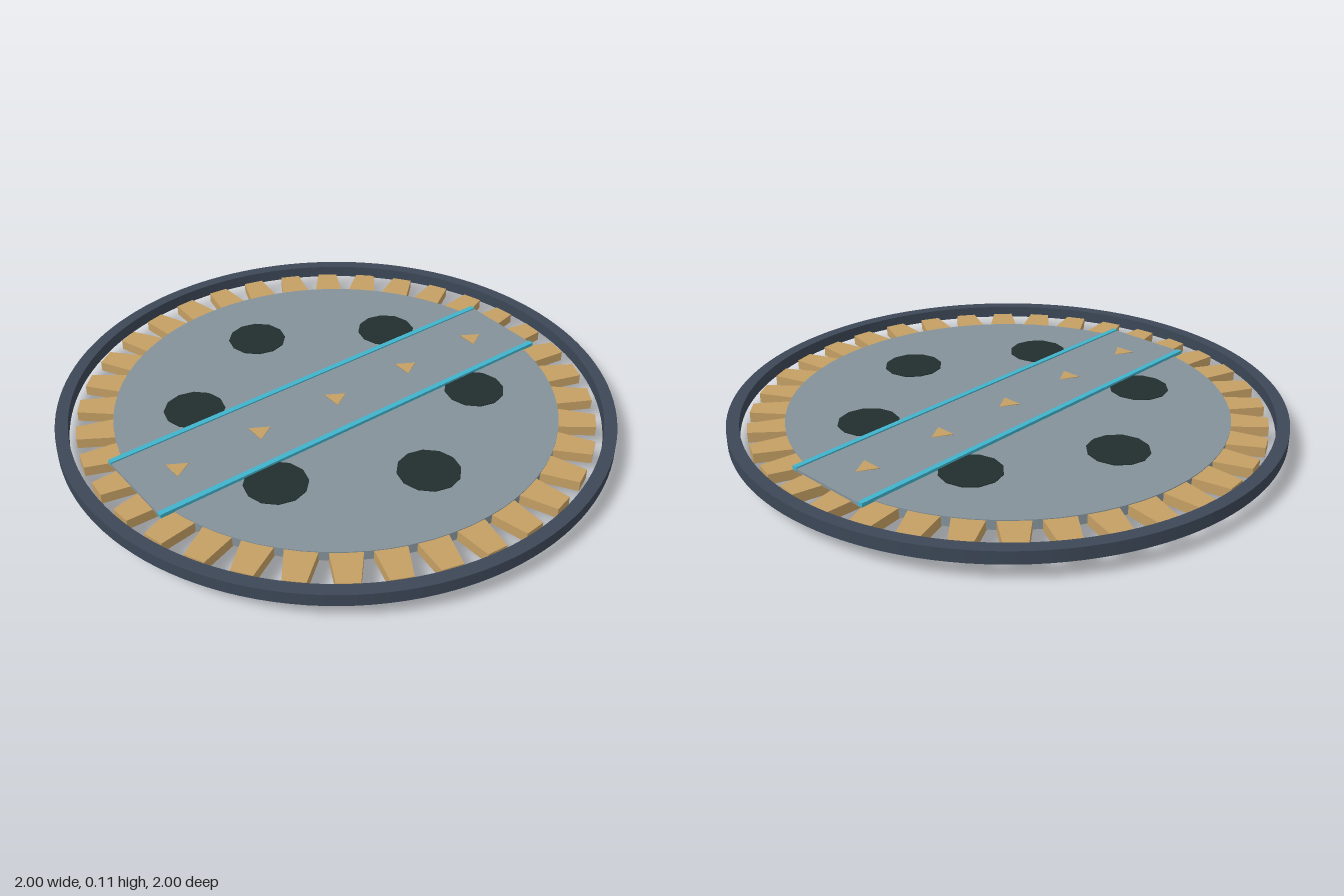
import * as THREE from 'three';

const mat = (name, color) => {
  const m = new THREE.MeshStandardMaterial({ color });
  m.name = name;
  return m;
};

export function createModel() {
  const grey = mat('deck grey', 0x84929a);
  const tan = mat('brass tan', 0xc49f64);
  const slate = mat('rim slate', 0x3c4757);
  const dark = mat('port dark', 0x222d2d);
  const teal = mat('rail teal', 0x40b4cc);

  const model = new THREE.Group();
  model.name = 'turntable';
  const add = (name, geometry, material, x = 0, y = 0, z = 0) => {
    const mesh = new THREE.Mesh(geometry, material);
    mesh.name = name;
    mesh.position.set(x, y, z);
    model.add(mesh);
    return mesh;
  };
  // Flat plate lying in the ground plane, rising from y = 0
  const plate = (shape, depth) => new THREE.ExtrudeGeometry(shape,
    { depth, bevelEnabled: false, curveSegments: 64 }).rotateX(-Math.PI / 2);
  const disc = (r, bottom, top, sides) =>
    new THREE.CylinderGeometry(r, r, top - bottom, sides).translate(0, (top + bottom) / 2, 0);

  // Outer guard ring
  const ring = new THREE.Shape().absarc(0, 0, 1, 0, Math.PI * 2);
  ring.holes.push(new THREE.Path().absarc(0, 0, 0.955, 0, Math.PI * 2, true));
  add('outerRing', plate(ring, 0.045), slate, 0, 0.065);

  // Gear with 36 tapered teeth
  const points = [];
  for (let i = 0; i < 36; i++) {
    const a = THREE.MathUtils.degToRad(5 + i * 10);
    for (const [r, w] of [[0.79, -0.055], [0.93, -0.038], [0.93, 0.038], [0.79, 0.055]]) {
      points.push(new THREE.Vector2(r, w).rotateAround(new THREE.Vector2(), a));
    }
  }
  add('gear', plate(new THREE.Shape(points), 0.037), tan, 0, 0.05);

  // Hub below and deck above
  add('hub', disc(0.222, 0, 0.055, 48), grey);
  add('deck', disc(0.8, 0.055, 0.09, 72), grey);

  // Six dark ports around the deck
  for (let i = 0; i < 6; i++) {
    const a = i * Math.PI / 3;
    add('port', disc(0.11, 0.087, 0.093, 12), dark, 0.512 * Math.cos(a), 0, 0.512 * Math.sin(a));
  }

  // Central track with an edge rail on each side
  add('track', new THREE.BoxGeometry(0.34, 0.012, 1.66), grey, 0, 0.09);
  for (const s of [-1, 1]) {
    add('rail', new THREE.BoxGeometry(0.02, 0.014, 1.662), teal, s * 0.165, 0.094);
  }

  // Direction arrows along the track
  const arrow = new THREE.CylinderGeometry(0.045, 0.045, 0.003, 3).rotateY(Math.PI);
  for (let i = -2; i <= 2; i++) add('arrow', arrow, tan, 0, 0.0968, i * 0.333);

  return model;
}
